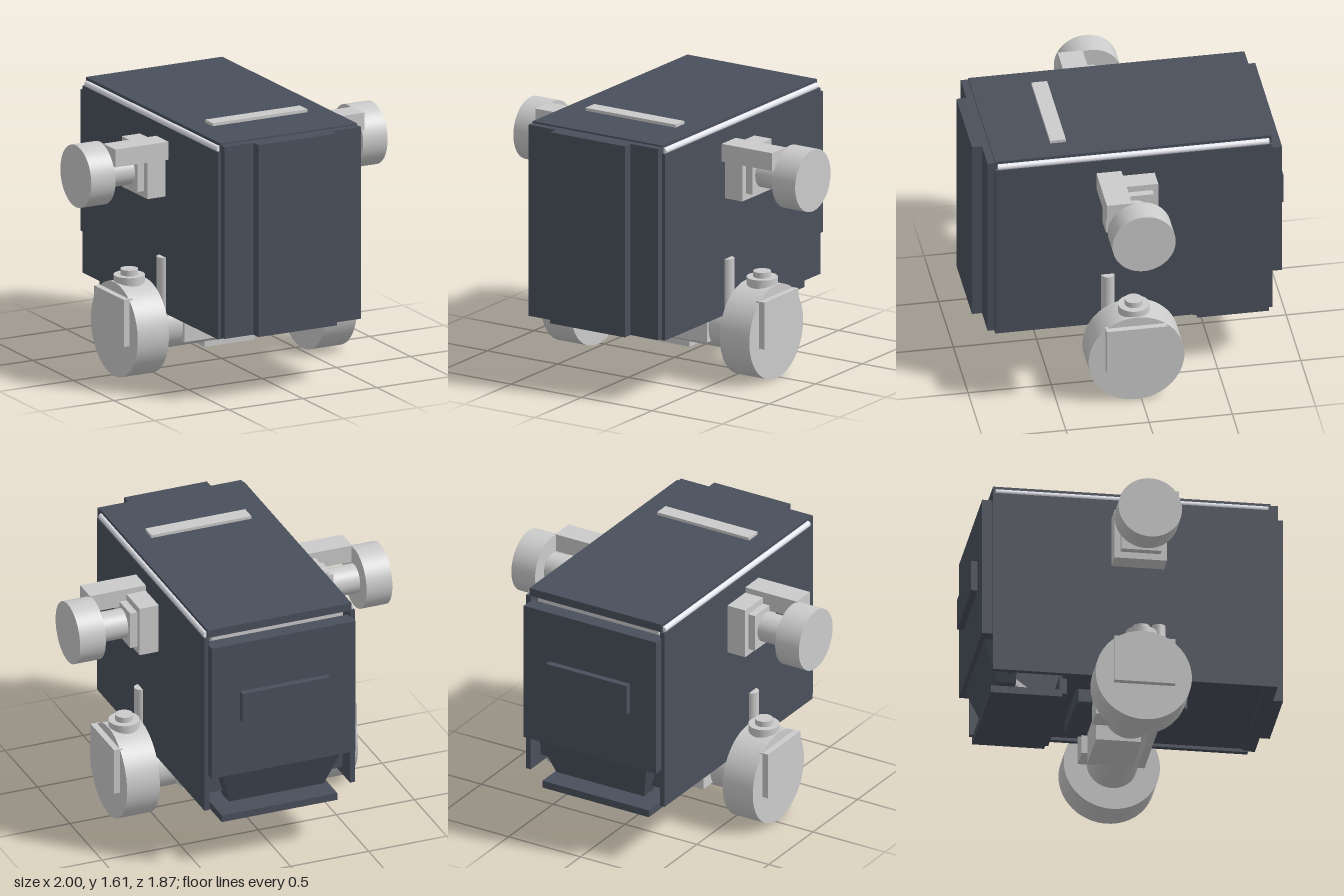
import * as THREE from 'three';
import { RoundedBoxGeometry } from 'three/addons/geometries/RoundedBoxGeometry.js';

const dark = new THREE.MeshStandardMaterial({ color: 0x4a505c });
const grey = new THREE.MeshStandardMaterial({ color: 0xcccccc });
const light = new THREE.MeshStandardMaterial({ color: 0xe6e6ee });

export function createModel() {
  const model = new THREE.Group();

  const add = (parent, name, geometry, material) => {
    const mesh = new THREE.Mesh(geometry, material);
    mesh.name = name;
    parent.add(mesh);
    return mesh;
  };
  // Box given by its lower and upper limits on each axis
  const box = (parent, name, x0, x1, y0, y1, z0, z1, material) => {
    const g = new THREE.BoxGeometry(x1 - x0, y1 - y0, z1 - z0);
    g.translate((x0 + x1) / 2, (y0 + y1) / 2, (z0 + z1) / 2);
    return add(parent, name, g, material);
  };
  // Cylinder lying along x
  const drum = (parent, name, x0, x1, y, z, r, material) => {
    const g = new THREE.CylinderGeometry(r, r, x1 - x0, 64);
    g.rotateZ(Math.PI / 2).translate((x0 + x1) / 2, y, z);
    return add(parent, name, g, material);
  };
  const post = (parent, name, x, y0, y1, z, rTop, rBottom, material) => {
    const g = new THREE.CylinderGeometry(rTop, rBottom, y1 - y0, 32);
    g.translate(x, (y0 + y1) / 2, z);
    return add(parent, name, g, material);
  };

  // Cabinet
  const body = new THREE.Group();
  body.name = 'cabinet';
  model.add(body);
  box(body, 'roof', -0.46, 0.46, 1.54, 1.59, -0.83, 0.83, dark);
  box(body, 'floor', -0.46, 0.46, 0.41, 0.44, -0.4, 0.83, dark);
  box(body, 'frontPanel', -0.46, 0.46, 0.4, 1.58, 0.8, 0.875, dark);
  box(body, 'frontDoor', -0.265, 0.265, 0.4, 1.58, 0.87, 0.935, dark);
  box(body, 'innerBulkhead', -0.46, 0.46, 0.44, 1.54, -0.72, -0.69, dark);
  box(body, 'innerRail', -0.42, 0.42, 1.48, 1.535, -0.8, -0.72, grey);
  box(body, 'backPanel', -0.46, 0.46, 0.63, 1.5, -0.895, -0.8, dark);
  box(body, 'backHandle', -0.28, 0.28, 0.99, 1.18, -0.935, -0.89, dark);
  box(body, 'roofBar', -0.32, 0.32, 1.585, 1.608, 0.38, 0.475, grey);

  // Tapered chute under the back panel
  const chute = new THREE.BoxGeometry(0.76, 0.24, 0.2).translate(0, 0.51, -0.77);
  const p = chute.attributes.position;
  for (let i = 0; i < p.count; i++) {
    if (p.getY(i) < 0.5) {
      p.setX(i, p.getX(i) * 0.8);
      if (p.getZ(i) < -0.8) p.setZ(i, -0.78);
    }
  }
  chute.computeVertexNormals();
  add(body, 'chute', chute, dark);

  // Tray, its front wall and the tilted flap above it
  box(body, 'tray', -0.37, 0.37, 0.29, 0.335, -0.83, -0.4, dark);
  box(body, 'trayWall', -0.37, 0.37, 0.31, 0.42, -0.42, -0.375, dark);
  const flap = add(body, 'flap', new THREE.BoxGeometry(0.5, 0.03, 0.2), grey);
  flap.position.set(0, 0.425, -0.663);
  flap.rotation.x = 0.65;

  // Rounded block below the floor
  add(body, 'underBlock', new RoundedBoxGeometry(0.47, 0.13, 0.67, 3, 0.02), dark)
    .position.set(0, 0.38, 0.035);

  // Axle and its mounts
  const axle = new THREE.Group();
  axle.name = 'axleAssembly';
  model.add(axle);
  drum(axle, 'axle', -0.55, 0.55, 0.29, 0.03, 0.152, grey);
  box(axle, 'axleFrontMount', -0.36, 0.36, 0.2, 0.41, 0.03, 0.2, grey);
  box(axle, 'axleGearbox', -0.17, 0.17, 0.12, 0.33, -0.17, 0.1, grey);

  for (const s of [1, -1]) {
    const side = new THREE.Group();
    side.name = s > 0 ? 'leftSide' : 'rightSide';
    model.add(side);
    // Boxes and drums are given for +x and mirrored by their limits
    const mx = (a, b) => (s > 0 ? [a, b] : [-b, -a]);

    box(side, 'sidePanel', ...mx(0.45, 0.482), 0.39, 1.54, -0.833, 0.833, dark);
    const strip = new THREE.CylinderGeometry(0.02, 0.02, 1.63, 20);
    strip.rotateX(Math.PI / 2).translate(s * 0.46, 1.552, 0);
    add(side, 'edgeStrip', strip, light);

    // Wheel with hub plate and top cap
    drum(side, 'wheel', ...mx(0.53, 0.74), 0.29, 0.03, 0.288, grey);
    box(side, 'hubPlate', ...mx(0.72, 0.778), 0.23, 0.52, -0.15, 0.215, grey);
    post(side, 'wheelCap', s * 0.64, 0.56, 0.615, 0.03, 0.093, 0.093, grey);
    post(side, 'wheelKnob', s * 0.64, 0.61, 0.65, 0.03, 0.053, 0.053, grey);
    post(side, 'strut', s * 0.48, 0.37, 0.735, 0.157, 0.04, 0.04, grey);
    box(side, 'axleRearMount', ...mx(0.2, 0.36), 0.2, 0.41, -0.2, 0.04, grey);

    // Arm with stepped base, shaft, top bar and end disc
    box(side, 'armBase', ...mx(0.47, 0.605), 1.11, 1.42, -0.125, 0.19, grey);
    box(side, 'armStep', ...mx(0.6, 0.65), 1.15, 1.38, -0.09, 0.15, grey);
    drum(side, 'armShaft', ...mx(0.64, 0.85), 1.26, 0.03, 0.09, grey);
    box(side, 'armBar', ...mx(0.47, 0.84), 1.345, 1.455, 0.075, 0.225, grey);
    drum(side, 'armDisc', ...mx(0.835, 1), 1.265, 0.03, 0.19, grey);
  }
  return model;
}
